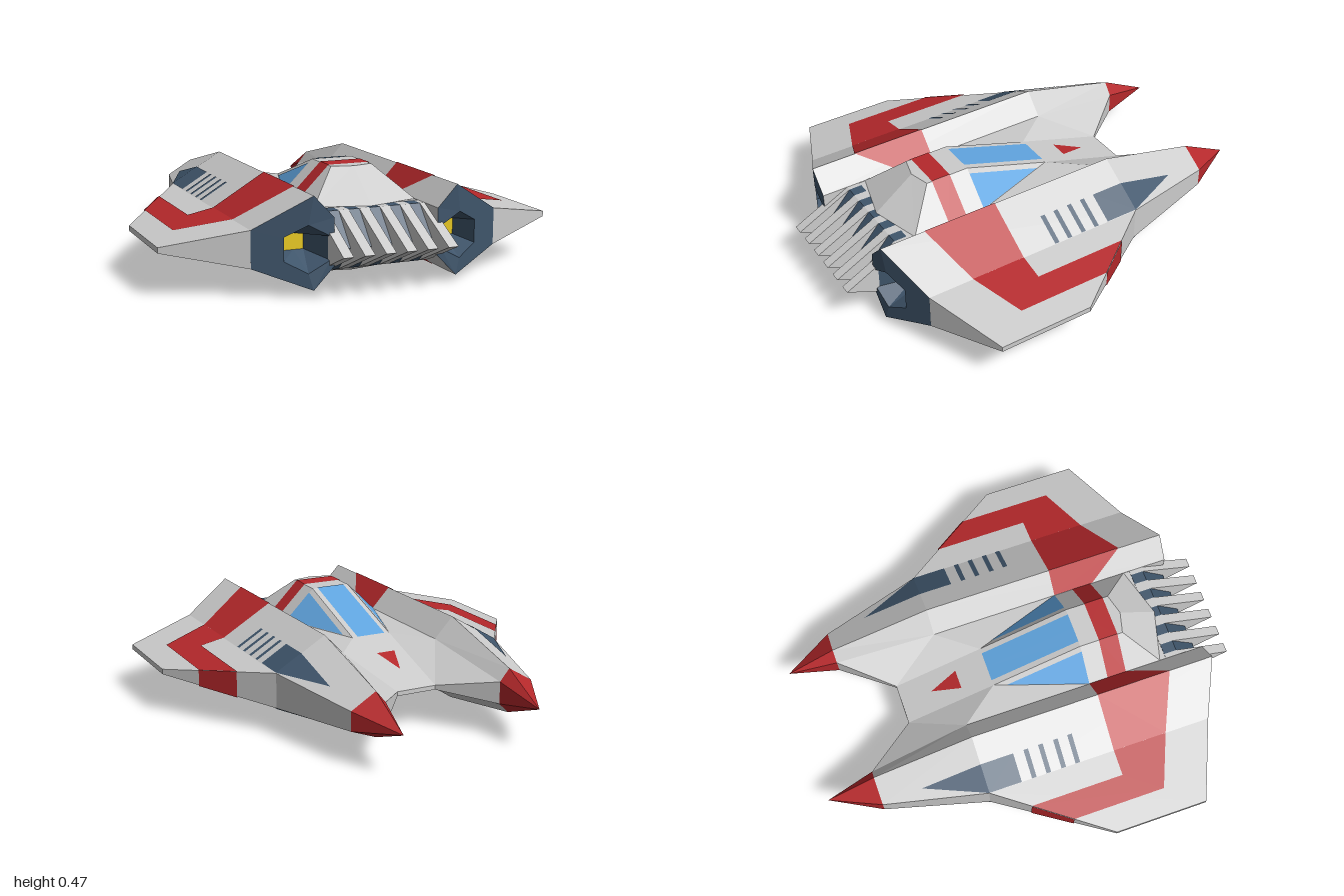
import * as THREE from 'three';

const GREY = 0xcccccc, RED = 0xb5282b, NAVY = 0x3f556b, BLUE = 0x60a5e0, YELLOW = 0xe8c820;
const LIFT = 0.003; // how far painted panels stand off the hull

function material(color) {
  return new THREE.MeshStandardMaterial({ color, flatShading: true, side: THREE.DoubleSide });
}

// Flat-shaded polygons, each repeated on the other side of x = 0
function panels(name, color, polygons) {
  const positions = [];
  for (const side of [1, -1]) {
    for (const p of polygons) {
      for (let i = 1; i < p.length - 1; i++) {
        const tri = side > 0 ? [p[0], p[i], p[i + 1]] : [p[0], p[i + 1], p[i]];
        for (const [x, y, z] of tri) positions.push(x * side, y, z);
      }
    }
  }
  const geometry = new THREE.BufferGeometry();
  geometry.setAttribute('position', new THREE.Float32BufferAttribute(positions, 3));
  geometry.computeVertexNormals();
  const mesh = new THREE.Mesh(geometry, material(color));
  mesh.name = name;
  return mesh;
}

// Quads joining two closed rings of equal length
function bridge(a, b) {
  return a.map((p, i) => {
    const j = (i + 1) % a.length;
    return [p, a[j], b[j], b[i]];
  });
}

// Height of the nacelle and wing skin, above or below
const SPAN = [0.235, 0.325, 0.56, 0.905];
const UPPER = [0.325, 0.42, 0.28, 0.21];
const LOWER = [0.123, 0.03, 0.12, 0.186];
function skin(x, z, top) {
  const ys = top ? UPPER : LOWER;
  const i = x <= SPAN[1] ? 0 : x <= SPAN[2] ? 1 : 2;
  const t = (x - SPAN[i]) / (SPAN[i + 1] - SPAN[i]);
  const drop = z < -0.3 ? (z + 0.3) * (top ? 0.245 : -0.16) : 0;
  return ys[i] + (ys[i + 1] - ys[i]) * t + drop + (top ? LIFT : -LIFT);
}
const paint = (outline, top) => outline.map(([x, z]) => [x, skin(x, z, top), z]);

// Rear plane of the nacelle sweeps forward outboard of the ridge
const rearZ = x => 0.86 - 0.404 * Math.max(0, x - 0.325);

// Wedge-shaped grille bar running back to zTip
function grilleBar(name, color, x, width, zTip) {
  const profile = new THREE.Shape([
    new THREE.Vector2(0.68, 0.325), new THREE.Vector2(0.74, 0.325),
    new THREE.Vector2(zTip, 0.19), new THREE.Vector2(0.74, 0.075), new THREE.Vector2(0.68, 0.075),
  ]);
  const geometry = new THREE.ExtrudeGeometry(profile, { depth: width, bevelEnabled: false });
  geometry.rotateY(-Math.PI / 2).translate(x + width / 2, 0, 0);
  const mesh = new THREE.Mesh(geometry, material(color));
  mesh.name = name;
  return mesh;
}

export function createModel() {
  const model = new THREE.Group();
  model.name = 'spacecraft';
  const add = (...args) => model.add(panels(...args));

  // Nacelles: six-sided sections from ridge round to inner edge
  const hex = [[0.325, 0.42], [0.56, 0.28], [0.56, 0.12], [0.325, 0.03], [0.235, 0.123], [0.235, 0.325]];
  const neck = [[0.325, 0.305], [0.44, 0.236], [0.44, 0.149], [0.325, 0.105], [0.28, 0.15], [0.28, 0.25]]
    .map(([x, y]) => [x, y, -0.77]);
  const rear = hex.map(([x, y]) => [x, y, rearZ(x)]);
  const shoulder = hex.map(([x, y]) => [x, y, -0.3]);
  add('nacelles', GREY, [...bridge(rear, shoulder), ...bridge(shoulder, neck)]);
  add('noseTips', RED, neck.map((p, i) => [p, neck[(i + 1) % 6], [0.325, 0.19, -1]]));

  // Engines: navy rear plate, recessed nozzle and glowing core
  const mouth = [[0.345, 0.3], [0.437, 0.25], [0.437, 0.15], [0.345, 0.1], [0.253, 0.15], [0.253, 0.25]]
    .map(([x, y]) => [x, y, rearZ(x)]);
  const core = [[0.35, 0.237], [0.395, 0.237], [0.395, 0.167], [0.35, 0.167], [0.305, 0.167], [0.305, 0.237]]
    .map(([x, y]) => [x, y, 0.7]);
  add('enginePlates', NAVY, bridge(rear, mouth));
  add('engineNozzles', NAVY, bridge(mouth, core));
  add('engineCores', YELLOW, [core]);

  // Wings: plan outline at root and tip, thin at the tip
  const plan = [[0.56, -0.3], [0.905, 0.19], [0.905, 0.625], [0.56, 0.765]];
  const wingTop = plan.map(([x, z]) => [x, x > 0.6 ? 0.21 : 0.28, z]);
  const wingBottom = plan.map(([x, z]) => [x, x > 0.6 ? 0.186 : 0.12, z]);
  add('wings', GREY, [wingTop, wingBottom, ...bridge(wingTop, wingBottom)]);

  // Fuselage: upper and lower humps sloping to a thin prow
  const halves = [
    { name: 'upper', top: true, w: 0.095, y: 0.465, edge: 0.325, front: 0.3, back: 0.505,
      foot: [0.095, 0.327, -0.12], prowY: 0.195, neckY: 0.25 },
    { name: 'lower', top: false, w: 0.12, y: 0.003, edge: 0.123, front: 0.17, back: 0.495,
      foot: [0.1, 0.08, -0.14], prowY: 0.175, neckY: 0.15 },
  ];
  for (const { name, top, w, y, edge, front, back, foot, prowY, neckY } of halves) {
    const prow = [0.095, prowY, -0.54], prowMid = [0, prowY, -0.54];
    const sideFront = [0.235, edge, front], sideRear = [0.235, edge, 0.65];
    const roofFront = [w, y, front], roofRear = [w, y, back];
    const wall = [0.235, edge, -0.3];
    add(name + 'Fuselage', GREY, [
      [[0, y, front], roofFront, roofRear, [0, y, back + 0.025]],
      [[0, y, front], roofFront, foot, [0, foot[1], foot[2]]],
      [[0, foot[1], foot[2]], foot, prow, prowMid],
      [roofFront, sideFront, sideRear, roofRear],
      [roofFront, foot, sideFront],
      [sideFront, foot, wall],
      [foot, prow, wall],
      [prow, [0.28, neckY, -0.77], wall],
      [[0, y, back + 0.025], roofRear, sideRear, [0, edge, 0.715]],
    ]);

    // Red band across the hump and arrow mark on the prow
    const lift = top ? LIFT : -LIFT;
    const band = [[0, y], [w, y], [0.235, edge]].map(p => [p[0], p[1] + lift]);
    add(name + 'HumpBand', RED, [0, 1].map(i => [
      [...band[i], 0.39], [...band[i + 1], 0.39], [...band[i + 1], 0.48], [...band[i], 0.48],
    ]));
    const slopeY = z => prowY + (foot[1] - prowY) * (z + 0.54) / (foot[2] + 0.54) + lift;
    add(name + 'Arrow', RED, [[[0, slopeY(-0.395), -0.395], [0.045, slopeY(-0.26), -0.26], [0, slopeY(-0.26), -0.26]]]);

    // Red stripes over nacelle and wing, split at the creases
    add(name + 'WingStripes', RED, [
      [[0.235, 0.3], [0.325, 0.3], [0.325, 0.65], [0.235, 0.49]],
      [[0.3251, 0.3], [0.56, 0.3], [0.56, 0.554], [0.3251, 0.65]],
      [[0.5601, 0.3], [0.675, 0.3], [0.79, 0.46], [0.5601, 0.554]],
      [[0.675, -0.137], [0.79, 0.027], [0.79, 0.46], [0.675, 0.3]],
    ].map(o => paint(o, top)));

    // Navy intake panels and four slots behind each
    add(name + 'Intakes', NAVY, [
      paint([[0.44, -0.145], [0.56, -0.145], [0.56, -0.3], [0.44, -0.3]], top),
      paint([[0.44, -0.3], [0.56, -0.3], [0.44, -0.58]], top),
    ]);
    add(name + 'Slots', NAVY, [-0.085, -0.015, 0.057, 0.125].map(z =>
      paint([[0.44, z - 0.011], [0.56, z - 0.011], [0.56, z + 0.011], [0.44, z + 0.011]], top)));
  }

  // Red stripe wrapping the wing's leading edge
  const edgePoint = (x, top) => [x + 0.0025, skin(x, 0, top), -0.3 + (x - 0.56) * 1.42 - 0.002];
  add('leadingEdgeStripes', RED, [[edgePoint(0.675, true), edgePoint(0.79, true), edgePoint(0.79, false), edgePoint(0.675, false)]]);

  // Thin wall along the prow
  add('prowEdge', GREY, [
    [[0, 0.195, -0.54], [0.095, 0.195, -0.54], [0.095, 0.175, -0.54], [0, 0.175, -0.54]],
    [[0.095, 0.195, -0.54], [0.28, 0.25, -0.77], [0.28, 0.15, -0.77], [0.095, 0.175, -0.54]],
  ]);

  // Canopy glass: windscreen and side panes
  const slope = (x, z) => 0.465 - Math.max(0, x - 0.095) + 0.329 * (z - 0.3) + LIFT;
  const glass = o => o.map(([x, z]) => [x, slope(x, z), z]);
  add('windscreen', BLUE, [glass([[0, -0.12], [0.07, -0.12], [0.07, 0.3], [0, 0.3]])]);
  add('sideWindows', BLUE, [glass([[0.115, -0.06], [0.235, 0.3], [0.115, 0.3]])]);

  // Rear grille: backing block, long grey bars, short navy bars between
  const block = new THREE.Mesh(new THREE.BoxGeometry(0.47, 0.245, 0.165), material(GREY));
  block.name = 'grilleBacking';
  block.position.set(0, 0.2, 0.633);
  model.add(block);
  for (let i = 0; i < 6; i++) model.add(grilleBar('grilleBar', GREY, -0.235 + i * 0.094, 0.045, 1));
  for (let i = 0; i < 5; i++) model.add(grilleBar('grilleInset', NAVY, -0.188 + i * 0.094, 0.05, 0.86));

  return model;
}
